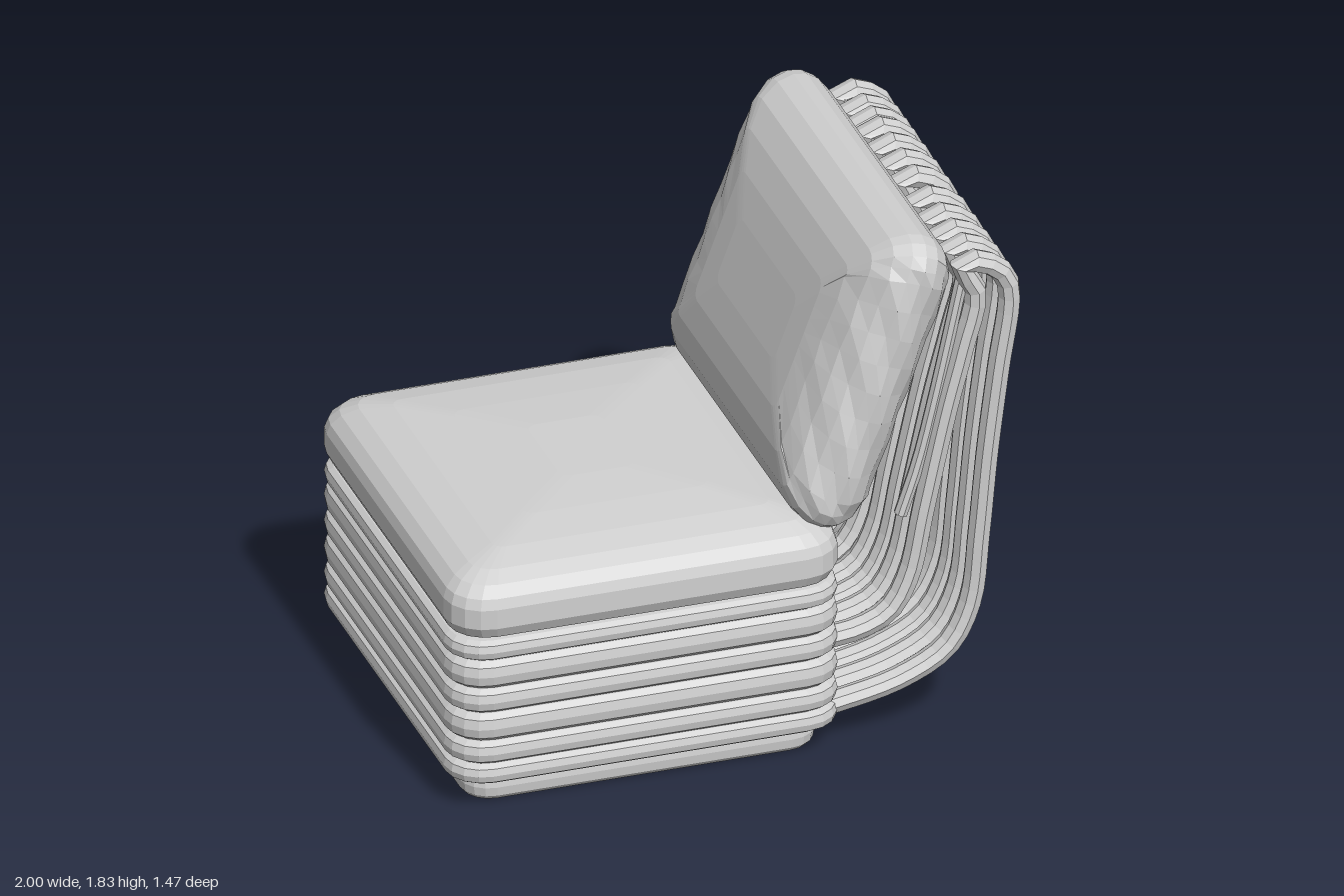
import * as THREE from 'three';

const grey = new THREE.MeshStandardMaterial({ color: 0xd0d0d0 });
grey.name = 'light grey';

// Outline of a rounded rectangle in the xz plane
function roundedRect(hx, hz, r, sideSteps = 8, arcSteps = 4) {
  const signs = [[1, 1], [-1, 1], [-1, -1], [1, -1]];
  const corner = (c, k) => {
    const a = (c + k / arcSteps) * Math.PI / 2;
    return [signs[c][0] * (hx - r) + r * Math.cos(a), signs[c][1] * (hz - r) + r * Math.sin(a)];
  };
  const pts = [];
  for (let c = 0; c < 4; c++) {
    for (let k = 0; k <= arcSteps; k++) pts.push(corner(c, k));
    const a = corner(c, arcSteps), b = corner((c + 1) % 4, 0);
    for (let s = 1; s < sideSteps; s++) {
      const t = s / sideSteps;
      pts.push([a[0] + (b[0] - a[0]) * t, a[1] + (b[1] - a[1]) * t]);
    }
  }
  return pts;
}

// Loft rounded rectangles through [inset, y] rows; a closed section makes a hollow ring
function loft(hx, hz, r, rows, closed, wrinkle = 0) {
  const pos = [], idx = [];
  let n = 0;
  rows.forEach(([d, y], j) => {
    const loop = roundedRect(hx - d, hz - d, Math.max(r - d * 0.6, 0.04));
    n = loop.length;
    loop.forEach(([x, z], i) => {
      const onSide = Math.abs(z) > hz - d - 0.01 && d < 0.2;
      const w = onSide ? wrinkle * (1 + Math.sin(i * 2.4 + j * 1.7)) : 0;
      pos.push(x, y, z - Math.sign(z) * w);
    });
  });
  const m = rows.length;
  for (let j = 0; j < (closed ? m : m - 1); j++) {
    for (let i = 0; i < n; i++) {
      const a = j * n + i, b = j * n + (i + 1) % n;
      const c = ((j + 1) % m) * n + i, d = ((j + 1) % m) * n + (i + 1) % n;
      idx.push(a, c, b, b, c, d);
    }
  }
  if (!closed) {
    const top = (m - 1) * n, c0 = m * n;
    pos.push(0, rows[0][1], 0, 0, rows[m - 1][1], 0);
    for (let i = 0; i < n; i++) {
      const k = (i + 1) % n;
      idx.push(c0, i, k, c0 + 1, top + k, top + i);
    }
  }
  const g = new THREE.BufferGeometry();
  g.setAttribute('position', new THREE.Float32BufferAttribute(pos, 3));
  g.setIndex(idx);
  return g;
}

// Faceted mesh
function part(name, geometry) {
  const g = geometry.toNonIndexed();
  g.computeVertexNormals();
  const mesh = new THREE.Mesh(g, grey);
  mesh.name = name;
  return mesh;
}

// Closed, slightly squared oval section for the base rings
function oval(width, y0, y1, steps = 12) {
  const soft = v => Math.sign(v) * Math.abs(v) ** 0.75;
  return Array.from({ length: steps }, (_, i) => {
    const a = i / steps * Math.PI * 2;
    return [width / 2 * (1 - soft(Math.cos(a))), (y0 + y1) / 2 + (y1 - y0) / 2 * soft(Math.sin(a))];
  });
}

// Bent rod lying in the xy plane, wider along z
function rod(points, steps, radius, zScale) {
  const curve = new THREE.CatmullRomCurve3(points.map(p => new THREE.Vector3(p[0], p[1], 0)), false, 'centripetal');
  return new THREE.TubeGeometry(curve, steps, radius, 8).scale(1, 1, zScale);
}

export function createModel() {
  const model = new THREE.Group();
  model.name = 'loungeChair';
  const seatX = -0.32;

  // Foot frame
  const foot = part('footFrame', loft(0.615, 0.66, 0.1, oval(0.09, 0, 0.108), true));
  foot.position.x = seatX;
  model.add(foot);

  // Stacked rings of the base, slightly overlapping
  const levels = [0.1, 0.175, 0.26, 0.365, 0.455, 0.56, 0.635];
  const base = new THREE.Group();
  base.name = 'baseRings';
  for (let i = 0; i < levels.length - 1; i++) {
    const section = oval(0.12, levels[i] - 0.003, levels[i + 1] + 0.003);
    const ring = part('baseRing', loft(0.68, 0.73, 0.13, section, true));
    ring.position.x = seatX;
    base.add(ring);
  }
  model.add(base);

  // Seat cushion
  const seatRows = [[0.3, 0.63], [0.06, 0.63], [0.02, 0.65], [0, 0.69], [0, 0.76], [0.012, 0.795],
    [0.045, 0.83], [0.1, 0.858], [0.2, 0.88], [0.36, 0.896], [0.55, 0.905]];
  const seat = part('seatCushion', loft(0.68, 0.735, 0.14, seatRows, false));
  seat.position.x = seatX;
  model.add(seat);

  // Back cushion, leaning on the rods
  const halfRows = [[0.42, 0.197], [0.3, 0.191], [0.19, 0.174], [0.1, 0.143], [0.04, 0.098], [0.008, 0.046]];
  const backRows = [...halfRows.map(([d, y]) => [d, -y]), [0, 0], ...halfRows.reverse()];
  const back = part('backCushion', loft(0.54, 0.715, 0.13, backRows, false, 0.008));
  back.position.set(0.475, 1.315, 0);
  back.rotation.z = THREE.MathUtils.degToRad(69.5);
  model.add(back);

  // Hairpin rods: slats under the seat, up the back, over the top and down to the base
  const hairpin = [[-0.93, 0.125], [-0.3, 0.125], [0.2, 0.13], [0.36, 0.15], [0.58, 0.2], [0.74, 0.29],
    [0.82, 0.44], [0.853, 0.7], [0.882, 1.0], [0.92, 1.3], [0.957, 1.58], [0.935, 1.65], [0.88, 1.695],
    [0.8, 1.713], [0.79, 1.69], [0.84, 1.6], [0.797, 1.4], [0.74, 1.18], [0.66, 0.82], [0.608, 0.58],
    [0.54, 0.46], [0.44, 0.41], [0.3, 0.39]];
  const rodGeometry = rod(hairpin, 90, 0.038, 1.22);
  const rods = new THREE.Group();
  rods.name = 'backRods';
  for (const z of [0.615, 0.495, 0.39, 0.275, 0.15, 0, -0.12, -0.235, -0.35, -0.425, -0.515, -0.625]) {
    const mesh = part('hairpinRod', rodGeometry);
    mesh.position.z = z;
    rods.add(mesh);
  }
  model.add(rods);

  // Short struts behind the back cushion
  for (const z of [-0.6, 0.6]) {
    const strut = part('cushionStrut', rod([[0.81, 1.7], [0.7, 1.2], [0.645, 0.98], [0.585, 0.8]], 12, 0.022, 1.3));
    strut.position.z = z;
    model.add(strut);
  }
  return model;
}
